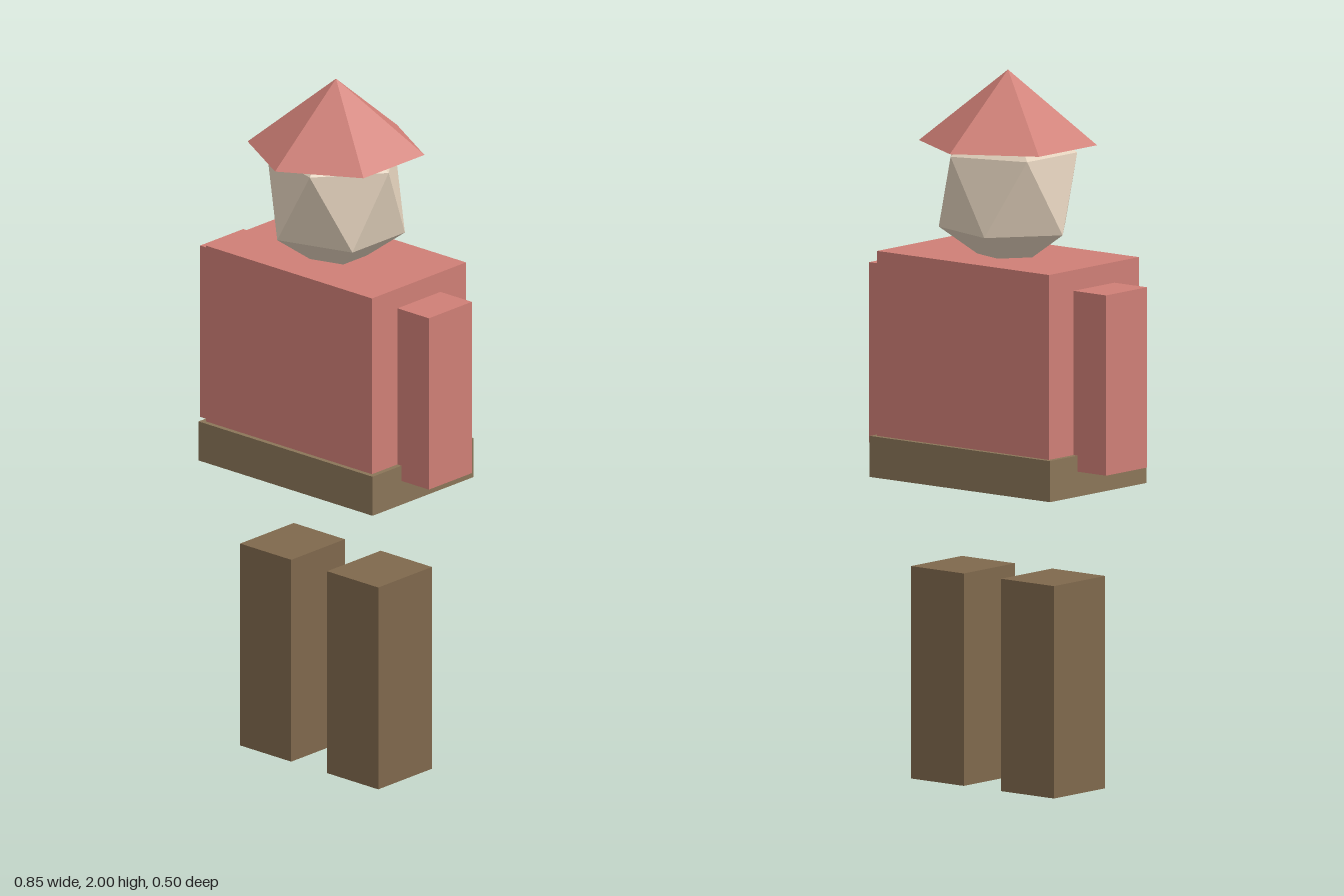
import * as THREE from 'three';

const paint = (color) => new THREE.MeshStandardMaterial({ color, flatShading: true });

export function createModel() {
  const model = new THREE.Group();
  const red = paint(0xcf7f76);
  const beltBrown = paint(0x8a7558);
  const legBrown = paint(0x7f684c);
  const skin = paint(0xe0cfba);

  const add = (name, geometry, material) => {
    const mesh = new THREE.Mesh(geometry, material);
    mesh.name = name;
    model.add(mesh);
    return mesh;
  };

  // Box given by its x and y ranges and its half depth
  const addBox = (name, x0, x1, y0, y1, halfDepth, material) =>
    add(name, new THREE.BoxGeometry(x1 - x0, y1 - y0, halfDepth * 2), material)
      .position.set((x0 + x1) / 2, (y0 + y1) / 2, 0);

  // Body
  addBox('torso', -0.31, 0.31, 0.92, 1.483, 0.193, red);
  addBox('belt', -0.325, 0.325, 0.85, 0.965, 0.207, beltBrown);

  // Limbs, mirrored left and right
  for (const [side, s] of [['left', 1], ['right', -1]]) {
    const mirrored = (a, b) => (s > 0 ? [a, b] : [-b, -a]);
    addBox(side + 'Arm', ...mirrored(0.29, 0.427), 0.92, 1.425, 0.088, red);
    addBox(side + 'Leg', ...mirrored(0.067, 0.258), 0, 0.595, 0.11, legBrown);
  }

  // Head: icosahedron standing on one corner, slightly stretched
  const headShape = new THREE.IcosahedronGeometry(1, 0);
  headShape.rotateZ(-Math.atan(2 / (1 + Math.sqrt(5))));
  headShape.scale(0.22, 0.24, 0.205);
  add('head', headShape, skin).position.y = 1.664;

  // Six-sided pointed hat
  add('hat', new THREE.ConeGeometry(0.25, 0.205, 6), red).position.y = 1.8975;

  return model;
}
